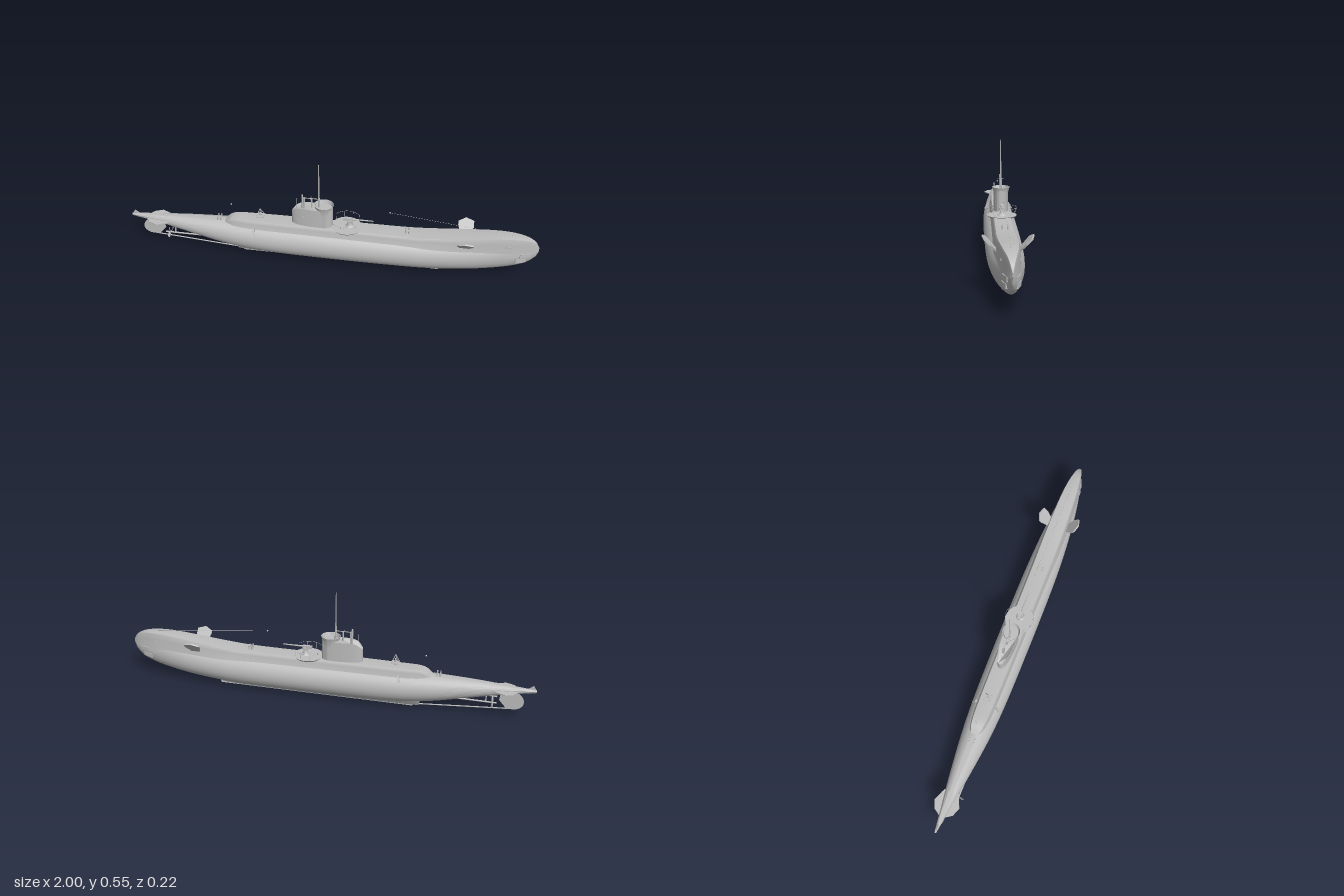
import * as THREE from 'three';
import { toCreasedNormals } from 'three/addons/utils/BufferGeometryUtils.js';

const grey = new THREE.MeshStandardMaterial({ color: 0xbdbdbd, side: THREE.DoubleSide });
grey.name = 'naval grey';

const V = (x, y, z) => new THREE.Vector3(x, y, z);

export function createModel() {
  const model = new THREE.Group();

  const add = (name, geometry, x = 0, y = 0, z = 0, parent = model) => {
    const mesh = new THREE.Mesh(geometry, grey);
    mesh.name = name;
    mesh.position.set(x, y, z);
    parent.add(mesh);
    return mesh;
  };
  const box = (name, w, h, d, x, y, z) => add(name, new THREE.BoxGeometry(w, h, d), x, y, z);

  // Straight round bar between two points
  const rod = (name, a, b, r, rEnd = r) => {
    const dir = b.clone().sub(a);
    const mesh = add(name, new THREE.CylinderGeometry(rEnd, r, dir.length(), 10));
    mesh.position.copy(a).addScaledVector(dir, 0.5);
    mesh.quaternion.setFromUnitVectors(V(0, 1, 0), dir.normalize());
    return mesh;
  };

  // Flat plate from an outline, centred on its thickness
  const plate = (points, depth) => {
    const shape = new THREE.Shape(points.map(p => new THREE.Vector2(...p)));
    return new THREE.ExtrudeGeometry(shape, { depth, bevelEnabled: false }).translate(0, 0, -depth / 2);
  };

  // Loft along x; stations are [x, bottom, top, halfWidth], section returns [z, y] points
  const loft = (stations, steps, section, crease) => {
    const heights = new THREE.CatmullRomCurve3(stations.map(s => V(s[0], s[1], s[2])), false, 'catmullrom');
    const widths = new THREE.CatmullRomCurve3(stations.map(s => V(s[0], s[3], 0)), false, 'catmullrom');
    const pos = [], index = [];
    let n = 0;
    for (let i = 0; i <= steps; i++) {
      const p = heights.getPoint(i / steps);
      const ring = section(p.y, p.z, Math.max(widths.getPoint(i / steps).y, 0.0008));
      n = ring.length;
      ring.forEach(([z, y]) => pos.push(p.x, y, z));
    }
    for (let i = 0; i < steps; i++) for (let j = 0; j < n; j++) {
      const a = i * n + j, d = i * n + (j + 1) % n;
      index.push(a, a + n, d + n, a, d + n, d);
    }
    const g = new THREE.BufferGeometry();
    g.setAttribute('position', new THREE.Float32BufferAttribute(pos, 3));
    g.setIndex(index);
    return toCreasedNormals(g, crease);
  };

  // Main hull
  add('hull', loft([
    [-1, 0.143, 0.158, 0.004], [-0.85, 0.118, 0.167, 0.025], [-0.7, 0.084, 0.175, 0.046],
    [-0.5, 0.04, 0.18, 0.068], [-0.3, 0.019, 0.181, 0.079], [0, 0.014, 0.181, 0.083],
    [0.3, 0.014, 0.181, 0.083], [0.5, 0.018, 0.183, 0.078], [0.7, 0.036, 0.195, 0.064],
    [0.85, 0.062, 0.21, 0.044], [0.94, 0.092, 0.215, 0.024], [0.985, 0.13, 0.205, 0.008], [1, 0.165, 0.185, 0.001],
  ], 96, (b, t, w) => Array.from({ length: 40 }, (_, j) => {
    const a = j / 40 * Math.PI * 2;
    return [w * Math.cos(a), (b + t) / 2 + (t - b) / 2 * Math.sin(a)];
  }), 0.9));

  // Deck casing, swelling up into the bow
  add('deckCasing', loft([
    [-0.52, 0.15, 0.177, 0.02], [-0.47, 0.15, 0.204, 0.034], [-0.35, 0.15, 0.206, 0.041],
    [0, 0.15, 0.207, 0.044], [0.35, 0.15, 0.207, 0.046], [0.5, 0.15, 0.214, 0.048],
    [0.65, 0.14, 0.229, 0.047], [0.78, 0.13, 0.243, 0.042], [0.87, 0.13, 0.246, 0.034],
    [0.94, 0.14, 0.238, 0.021], [0.98, 0.155, 0.218, 0.01], [1, 0.17, 0.188, 0.001],
  ], 80, (b, t, w) => {
    const h = t - b;
    const side = [[1.2, 0.1], [1.06, 0.45], [1, 0.7], [0.96, 0.87], [0.86, 0.98], [0.4, 1]];
    const half = side.map(([z, y]) => [z * w, b + y * h]);
    return [...half, ...half.map(([z, y]) => [-z, y]).reverse()];
  }, 0.6));

  // Ballast keel, skeg and rudder
  add('keel', plate([[-0.46, 0.03], [-0.43, 0], [0.54, 0], [0.55, 0.03]], 0.018));
  add('keelFairing', loft([[-0.45, 0.012, 0.04, 0.004], [-0.38, 0.004, 0.04, 0.03], [0.45, 0.004, 0.04, 0.03],
    [0.55, 0.014, 0.04, 0.004]], 24, (b, t, w) => [[w, t], [-w, t], [-w * 0.3, b], [w * 0.3, b]].reverse(), 0.5));
  add('forwardKeelFin', plate([[0.58, 0.03], [0.59, 0.016], [0.65, 0.025], [0.68, 0.045]], 0.012));
  rod('skegBar', V(-0.9, 0.045, 0), V(-0.44, 0.008, 0), 0.003);
  const rudder = new THREE.Shape();
  rudder.moveTo(-0.84, 0.122);
  rudder.lineTo(-0.92, 0.128);
  rudder.bezierCurveTo(-0.965, 0.1, -0.955, 0.045, -0.9, 0.043);
  rudder.lineTo(-0.87, 0.045);
  rudder.lineTo(-0.835, 0.085);
  add('rudder', new THREE.ExtrudeGeometry(rudder, { depth: 0.006, bevelEnabled: false }), 0, 0, -0.003);
  add('sternFin', plate([[-1, 0.152], [-0.985, 0.178], [-0.96, 0.16]], 0.004));

  for (const s of [1, -1]) {
    // Bow planes, folded upwards
    const bow = add('bowPlane', plate([[0.63, -0.01], [0.615, 0.045], [0.615, 0.062], [0.65, 0.082],
      [0.69, 0.068], [0.69, 0.035], [0.67, -0.01]], 0.007), 0, 0.187, s * 0.05);
    bow.rotation.x = s * 0.74;

    // Stern planes
    const stern = add('sternPlane', plate([[-0.93, 0], [-0.9, 0.045], [-0.86, 0.061], [-0.8, 0.035], [-0.8, 0]], 0.005), 0, 0.144, 0);
    stern.rotation.x = s * Math.PI / 2;

    // Propeller, shaft and bracket
    rod('propellerShaft', V(-0.825, 0.083, s * 0.03), V(-0.58, 0.088, s * 0.035), 0.004);
    rod('shaftBracket', V(-0.775, 0.083, s * 0.03), V(-0.775, 0.13, s * 0.015), 0.003);
    const propeller = new THREE.Group();
    propeller.name = 'propeller';
    propeller.position.set(-0.805, 0.083, s * 0.03);
    model.add(propeller);
    for (let i = 0; i < 3; i++) {
      const arm = new THREE.Group();
      arm.name = 'bladeArm';
      arm.rotation.x = i * Math.PI * 2 / 3;
      propeller.add(arm);
      const blade = add('blade', new THREE.SphereGeometry(1, 12, 8), 0, 0.015, 0, arm);
      blade.scale.set(0.002, 0.015, 0.009);
      blade.rotation.y = s * 0.5;
    }

    // Torpedo tube doors and hull fittings
    for (const [x, y, z] of [[0.918, 0.12, 0.023], [0.936, 0.152, 0.02]]) {
      const door = box('torpedoDoor', 0.05, 0.019, 0.017, x, y, s * z);
      door.rotation.y = s * 0.3;
    }
    box('bowVent', 0.03, 0.006, 0.004, 0.85, 0.2, s * 0.037);
    const bracket = box('hullBracket', 0.012, 0.035, 0.008, -0.365, 0.163, s * 0.06);
    bracket.rotation.x = -s * 0.5;
    for (const x of [-0.555, -0.54, 0.37, 0.385]) {
      const y = x < 0 ? 0.185 : 0.214;
      rod('bollard', V(x, y - 0.012, s * 0.012), V(x, y + 0.012, s * 0.012), 0.003);
    }

    // Gun platform railing
    const top = [];
    for (let i = 0; i <= 6; i++) {
      const a = (0.2 + i / 6 * 0.6) * Math.PI;
      const p = V(0.085 + 0.07 * Math.cos(a), 0.245, s * 0.07 * Math.sin(a));
      top.push(p);
      if (i % 2 === 0) rod('railPost', V(p.x, 0.205, p.z * 0.9), p, 0.0008);
    }
    add('handrail', new THREE.TubeGeometry(new THREE.CatmullRomCurve3(top), 24, 0.0008, 5));
  }

  // Gun platform and deck gun
  const platform = add('gunPlatform', new THREE.CylinderGeometry(0.07, 0.064, 0.008, 36), 0.085, 0.205, 0);
  platform.scale.x = 1.05;
  const profile = [[0.022, 0], [0.018, 0.006], [0.009, 0.012], [0.007, 0.035], [0, 0.037]];
  add('gunPedestal', new THREE.LatheGeometry(profile.map(p => new THREE.Vector2(...p)).reverse(), 20), 0.1, 0.209, 0);
  box('gunBreech', 0.045, 0.013, 0.012, 0.09, 0.25, 0);
  rod('gunBarrel', V(0.09, 0.251, 0), V(0.213, 0.251, 0), 0.0045, 0.0025);
  box('gunCradle', 0.025, 0.012, 0.026, 0.1, 0.241, 0);

  // Conning tower: teardrop plan, rounded down at the rear
  const plan = new THREE.Shape();
  plan.moveTo(-0.183, 0);
  plan.bezierCurveTo(-0.183, 0.024, -0.12, 0.033, -0.04, 0.034);
  plan.bezierCurveTo(0.0, 0.034, 0.018, 0.02, 0.018, 0);
  plan.bezierCurveTo(0.018, -0.02, 0.0, -0.034, -0.04, -0.034);
  plan.bezierCurveTo(-0.12, -0.033, -0.183, -0.024, -0.183, 0);
  const tower = new THREE.ExtrudeGeometry(plan, { depth: 0.11, bevelEnabled: false, curveSegments: 14 }).rotateX(-Math.PI / 2);
  const tp = tower.attributes.position;
  for (let i = 0; i < tp.count; i++) {
    if (tp.getY(i) > 0.05) tp.setY(i, 0.106 - 0.035 * Math.max(0, (-0.13 - tp.getX(i)) / 0.053) ** 2);
  }
  add('conningTower', toCreasedNormals(tower, 0.6), 0, 0.2, 0);

  // Flared bridge screen and its floor
  const flare = [[0.034, 0], [0.034, 0.07], [0.036, 0.1], [0.042, 0.12], [0.04, 0.12], [0.033, 0.1], [0, 0.1]];
  const bridge = add('bridgeScreen', toCreasedNormals(
    new THREE.LatheGeometry(flare.map(p => new THREE.Vector2(...p)), 36), 0.6), -0.026, 0.203, 0);
  bridge.scale.x = 1.12;
  for (const s of [1, -1]) for (let i = 0; i < 4; i++)
    box('towerVent', 0.014, 0.003, 0.003, -0.115 + i * 0.025, 0.263, s * (0.029 + i * 0.0015));

  // Periscope and its standards
  rod('periscopeSleeve', V(-0.05, 0.29, 0), V(-0.05, 0.356, 0), 0.0055);
  rod('periscopeMast', V(-0.05, 0.35, 0), V(-0.05, 0.548, 0), 0.004, 0.0018);
  for (const x of [-0.13, -0.122, -0.085]) rod('standard', V(x, 0.29, 0), V(x, x < -0.125 ? 0.368 : 0.354, 0), 0.004);
  rod('standardBar', V(-0.13, 0.352, 0), V(-0.05, 0.352, 0), 0.002);
  rod('crossBar', V(-0.09, 0.352, -0.015), V(-0.09, 0.352, 0.015), 0.0012);
  rod('sternLamp', V(-0.16, 0.29, 0), V(-0.16, 0.345, 0), 0.001);

  // Open tripod frame on the after deck
  for (const sx of [1, -1]) for (const sz of [1, -1])
    rod('frameLeg', V(-0.34 + sx * 0.016, 0.222, sz * 0.016), V(-0.34, 0.262, 0), 0.0015);
  box('frameBase', 0.036, 0.003, 0.036, -0.34, 0.221, 0);
  rod('framePost', V(-0.34, 0.2, 0), V(-0.34, 0.24, 0), 0.004);

  // Aerial wire and insulators
  rod('aerialWire', V(0.29, 0.312, 0), V(0.87, 0.246, 0), 0.0006);
  add('foreInsulator', new THREE.SphereGeometry(0.004, 10, 8), 0.29, 0.312, 0);
  add('aftInsulator', new THREE.SphereGeometry(0.004, 10, 8), -0.483, 0.273, 0);

  return model;
}
